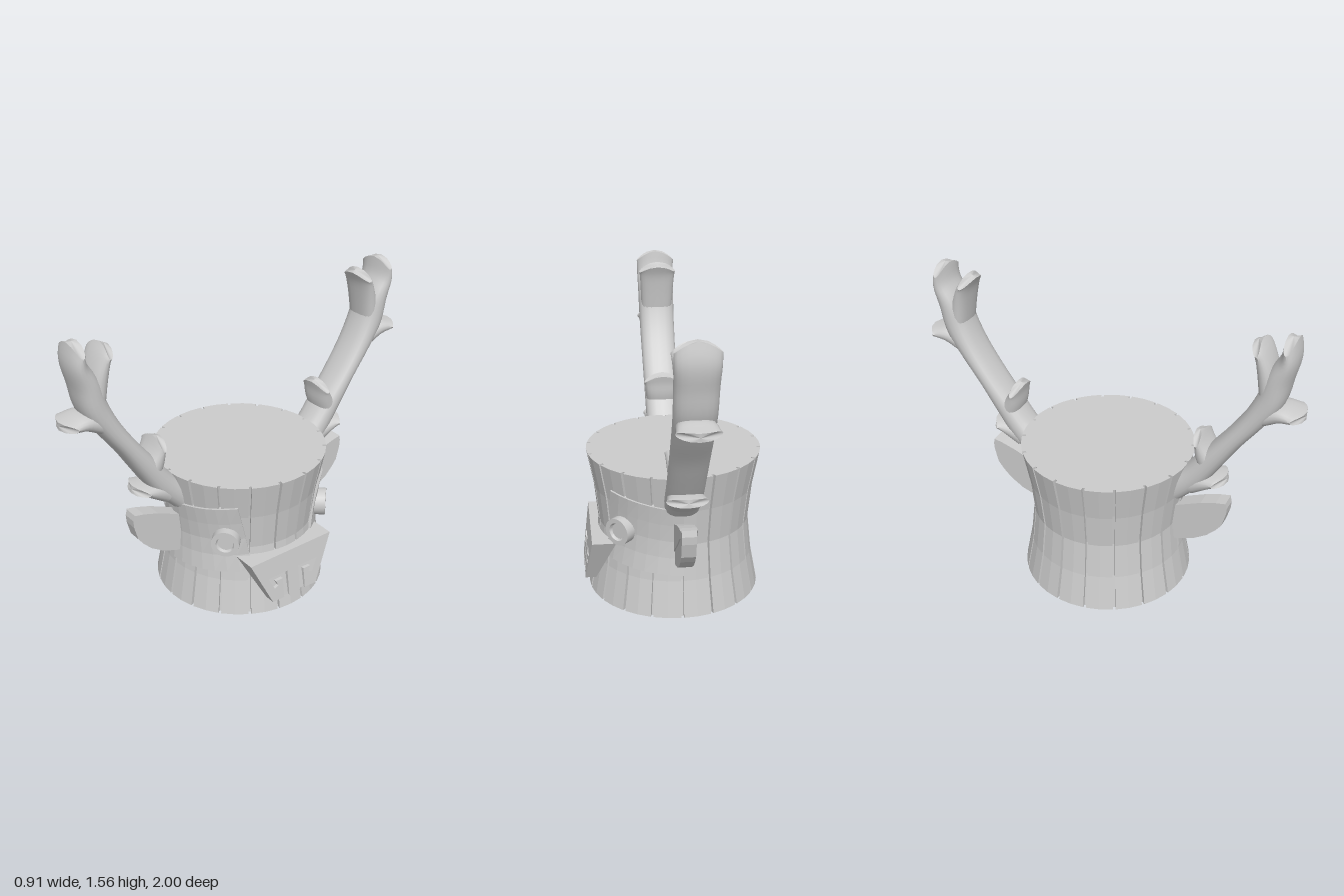
import * as THREE from 'three';
import { toCreasedNormals } from 'three/addons/utils/BufferGeometryUtils.js';

const grey = new THREE.MeshStandardMaterial({ color: 0xcccccc });
const lerp = THREE.MathUtils.lerp;
const rad = THREE.MathUtils.degToRad;
const CX = -0.013; // axis of the trunk

// Radius of the waisted trunk at a height
const trunkRadius = y => 0.388 + 0.055 * Math.abs((y - 0.375) / 0.375) ** 1.5;

function part(name, geometry, parent) {
  const mesh = new THREE.Mesh(geometry, grey);
  mesh.name = name;
  parent.add(mesh);
  return mesh;
}

// Move every vertex by a rule
function warp(geometry, rule) {
  const p = geometry.attributes.position;
  const v = new THREE.Vector3();
  for (let i = 0; i < p.count; i++) {
    v.fromBufferAttribute(p, i);
    rule(v);
    p.setXYZ(i, v.x, v.y, v.z);
  }
  geometry.computeVertexNormals();
  return geometry;
}

const shapeOf = pts => new THREE.Shape(pts.map(([x, y]) => new THREE.Vector2(x, y)));

// Trunk: 18 planks with narrow grooves between them
function trunkGeometry() {
  const pts = [];
  const add = (deg, r) => pts.push([r * Math.cos(rad(deg)), r * Math.sin(rad(deg))]);
  for (let k = 0; k < 18; k++) {
    const a = 10 + 20 * k;
    add(a - 0.9, 1);
    add(a - 0.9, 0.955);
    add(a + 0.9, 0.955);
    add(a + 0.9, 1);
    add(a + 10, 1);
  }
  const geo = new THREE.ExtrudeGeometry(shapeOf(pts), { depth: 0.75, steps: 4, bevelEnabled: false });
  geo.rotateX(-Math.PI / 2);
  return warp(geo, v => {
    const r = trunkRadius(v.y);
    v.x *= r;
    v.z *= r;
  });
}

// Curved cheek panel wrapped on the trunk
function cheekGeometry(side) {
  const geo = new THREE.BoxGeometry(1, 1, 1, 7, 4, 1).toNonIndexed();
  return warp(geo, p => {
    const u = side * p.x + 0.5;
    const v = p.y + 0.5;
    const phi = rad(lerp(91, lerp(27, 38, v), u));
    const y = lerp(lerp(0.22, 0.25, u), lerp(0.57, 0.63, u), v);
    const r = trunkRadius(y) + (p.z > 0 ? 0.012 : -0.03);
    p.set(r * Math.cos(phi), y, side * r * Math.sin(phi));
  });
}

// Snout layer between two depths (0 = back, 1 = front)
function snoutGeometry(outline, from, to) {
  const geo = new THREE.ExtrudeGeometry(shapeOf(outline), { depth: 1, bevelEnabled: false });
  geo.rotateY(Math.PI / 2);
  return warp(geo, p => {
    const k = (0.335 - p.y) / 0.245;
    p.x = lerp(lerp(0.30, 0.40, k), lerp(0.42, 0.455, k), lerp(from, to, p.x)) - CX;
  });
}

// Broad antler branch: path points are [z, y, half thickness], widths run along x
function branchGeometry(path, side, w0, w1, steps) {
  const curve = new THREE.CatmullRomCurve3(path.map(([z, y, h]) => new THREE.Vector3(h, y, side * z)));
  const N = 20;
  const pos = [];
  const index = [];
  const soft = (c, e) => Math.sign(c) * Math.abs(c) ** e;
  for (let i = 0; i <= steps; i++) {
    const u = i / steps;
    const c = curve.getPoint(u);
    const t = curve.getTangent(u).setX(0).normalize();
    const w = lerp(w0, w1, u);
    for (let j = 0; j < N; j++) {
      const a = (j / N) * Math.PI * 2;
      const x = soft(Math.cos(a), 0.75);
      const h = c.x * soft(Math.sin(a), 0.85);
      const bow = -0.05 * x * x * u ** 3; // tips arch across their width
      pos.push(w * x, c.y + t.z * h + t.y * bow, c.z - t.y * h + t.z * bow);
    }
  }
  const end = curve.getPoint(1);
  pos.push(0, end.y, end.z);
  for (let j = 0; j < N; j++) {
    const k = (j + 1) % N;
    for (let i = 0; i < steps; i++) {
      const a = i * N + j, b = i * N + k;
      index.push(a, b, b + N, a, b + N, a + N);
    }
    index.push((steps + 1) * N, steps * N + j, steps * N + k);
  }
  const geo = new THREE.BufferGeometry();
  geo.setAttribute('position', new THREE.Float32BufferAttribute(pos, 3));
  geo.setIndex(index);
  return toCreasedNormals(geo, 0.7);
}

const BEAM = [[0.38, 0.60, 0.07], [0.48, 0.70, 0.065], [0.58, 0.84, 0.058], [0.67, 0.97, 0.05], [0.765, 1.11, 0.055],
  [0.83, 1.23, 0.065], [0.862, 1.35, 0.06], [0.9, 1.46, 0.043], [0.9, 1.56, 0.025]];
const TINES = {
  upperInnerTine: [[0.82, 1.27, 0.045], [0.8, 1.38, 0.04], [0.775, 1.46, 0.03], [0.745, 1.515, 0.023]],
  upperOuterTine: [[0.80, 1.14, 0.05], [0.88, 1.175, 0.042], [0.95, 1.178, 0.028], [0.998, 1.177, 0.02]],
  lowerInnerTine: [[0.56, 0.80, 0.06], [0.53, 0.86, 0.045], [0.51, 0.92, 0.028], [0.495, 0.965, 0.022]],
  lowerOuterTine: [[0.47, 0.66, 0.06], [0.54, 0.69, 0.045], [0.60, 0.71, 0.028], [0.648, 0.718, 0.02]],
};

// Ear outlines [z, y]: whole leaf, and the part above the fold
const EAR = [[0.36, 0.28], [0.415, 0.285], [0.5, 0.315], [0.57, 0.36], [0.615, 0.405], [0.645, 0.445], [0.665, 0.52],
  [0.668, 0.56], [0.66, 0.59], [0.61, 0.58], [0.53, 0.555], [0.415, 0.505], [0.36, 0.48]];
const EAR_TOP = [[0.36, 0.31], [0.42, 0.37], [0.54, 0.46], [0.62, 0.53], [0.66, 0.59], [0.61, 0.58],
  [0.53, 0.555], [0.415, 0.505], [0.36, 0.48]];

function earPlate(outline, thickness) {
  const geo = new THREE.ExtrudeGeometry(shapeOf(outline), { depth: thickness, bevelEnabled: false });
  geo.translate(0, 0, -thickness / 2);
  return geo.rotateY(-Math.PI / 2); // outline x becomes +z
}

export function createModel() {
  const root = new THREE.Group();
  root.name = 'antleredTrunk';
  const model = new THREE.Group();
  model.name = 'figure';
  model.position.x = CX;
  root.add(model);

  part('trunk', trunkGeometry(), model);

  // Snout with engraved nostrils open at the lower edge
  const block = [[-0.14, 0.09], [0.14, 0.09], [0.255, 0.335], [-0.255, 0.335]];
  const nostril = [[0.035, 0.09], [0.035, 0.228], [0.158, 0.228], [0.122, 0.16], [0.098, 0.17],
    [0.112, 0.198], [0.068, 0.198], [0.068, 0.09]];
  const mirrored = nostril.map(([a, y]) => [-a, y]).reverse();
  const front = [block[0], ...mirrored, ...nostril, ...block.slice(1)];
  part('snout', snoutGeometry(block, 0, 0.8), model);
  part('snoutFront', snoutGeometry(front, 0.8, 1), model);

  const eyeProfile = [[0.07, -0.07], [0.07, 0], [0.046, 0], [0.04, -0.015], [0, -0.015]]
    .map(([x, y]) => new THREE.Vector2(x, y));
  const eyeGeo = toCreasedNormals(new THREE.LatheGeometry(eyeProfile, 24), 0.5);

  for (const side of [1, -1]) {
    const name = side > 0 ? 'left' : 'right';
    part(name + 'Cheek', cheekGeometry(side), model);

    const dir = new THREE.Vector3(Math.cos(rad(46)), 0, side * Math.sin(rad(46)));
    const eye = part(name + 'Eye', eyeGeo, model);
    eye.quaternion.setFromUnitVectors(new THREE.Vector3(0, 1, 0), dir);
    eye.position.copy(dir).multiplyScalar(0.452).setY(0.433);

    // Ear
    const ear = new THREE.Group();
    ear.name = name + 'Ear';
    ear.rotation.y = side > 0 ? 0 : Math.PI;
    model.add(ear);
    part('earLeaf', earPlate(EAR, 0.07), ear);
    part('earFold', earPlate(EAR_TOP, 0.082), ear);

    // Antler
    const antler = new THREE.Group();
    antler.name = name + 'Antler';
    model.add(antler);
    part('beam', branchGeometry(BEAM, side, 0.088, 0.102, 32), antler);
    for (const [tine, path] of Object.entries(TINES)) {
      part(tine, branchGeometry(path, side, 0.085, 0.1, 10), antler);
    }
  }
  return root;
}
